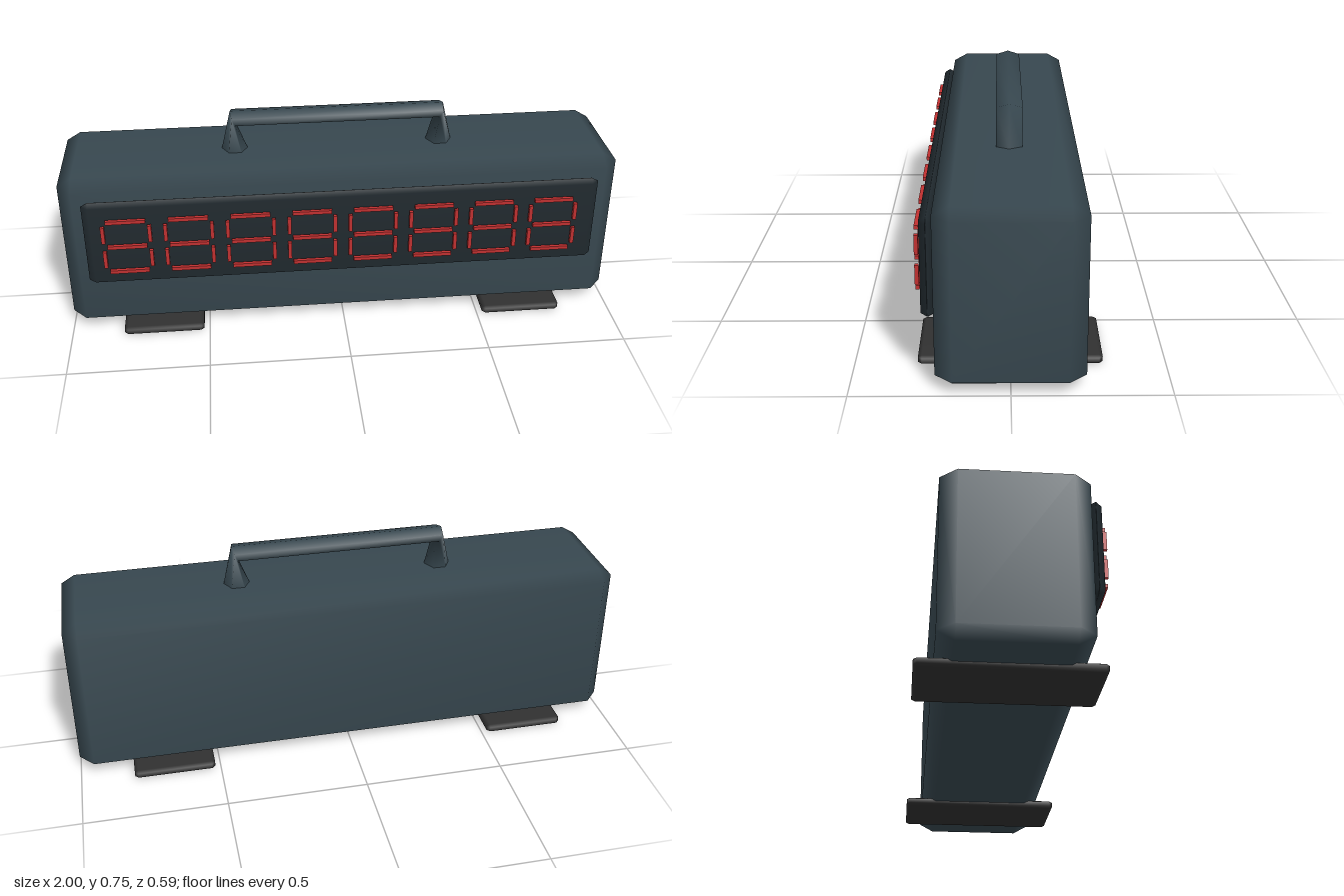
import * as THREE from 'three';
import { ConvexGeometry } from 'three/addons/geometries/ConvexGeometry.js';
import { mergeVertices } from 'three/addons/utils/BufferGeometryUtils.js';

const paint = (color) => new THREE.MeshStandardMaterial({ color });

// Box with half sizes h and one-step bevels b per axis, smooth normals
function bevelBox([hx, hy, hz], [bx, by, bz]) {
  const points = [];
  for (const sx of [-1, 1]) for (const sy of [-1, 1]) for (const sz of [-1, 1]) {
    points.push(
      new THREE.Vector3(sx * hx, sy * (hy - by), sz * (hz - bz)),
      new THREE.Vector3(sx * (hx - bx), sy * hy, sz * (hz - bz)),
      new THREE.Vector3(sx * (hx - bx), sy * (hy - by), sz * hz));
  }
  const geometry = new ConvexGeometry(points);
  geometry.deleteAttribute('normal');
  const smooth = mergeVertices(geometry, 1e-4);
  smooth.computeVertexNormals();
  return smooth;
}

// Hexagonal loops swept from one foot of the handle to the other
function handleGeometry() {
  const halfWidth = 0.045;
  // Outer and inner edge of each section: [outerX, outerY, innerX, innerY]
  const sections = [
    [-0.425, 0.59, -0.325, 0.59],
    [-0.388, 0.747, -0.366, 0.696],
    [0.388, 0.747, 0.366, 0.696],
    [0.425, 0.59, 0.325, 0.59],
  ];
  const hexagon = [[0, 0], [0.25, 1], [0.75, 1], [1, 0], [0.75, -1], [0.25, -1]];
  const positions = [], indices = [];
  sections.forEach(([ox, oy, ix, iy], s) => {
    hexagon.forEach(([t, side], k) => {
      positions.push(ox + (ix - ox) * t, oy + (iy - oy) * t, side * halfWidth);
      if (s === sections.length - 1) return;
      const a = s * 6 + k, b = s * 6 + (k + 1) % 6;
      indices.push(a, b, a + 6, b, b + 6, a + 6);
    });
  });
  const geometry = new THREE.BufferGeometry();
  geometry.setAttribute('position', new THREE.Float32BufferAttribute(positions, 3));
  geometry.setIndex(indices);
  geometry.computeVertexNormals();
  return geometry;
}

export function createModel() {
  const model = new THREE.Group();
  const bodyPaint = paint(0x37474f);
  const panelPaint = paint(0x20292e);
  const footPaint = paint(0x303030);
  const segmentPaint = paint(0xc03030);

  const add = (parent, name, geometry, material, x, y, z) => {
    const mesh = new THREE.Mesh(geometry, material);
    mesh.name = name;
    mesh.position.set(x, y, z);
    parent.add(mesh);
  };

  // Case, display panel and carrying handle
  add(model, 'body', bevelBox([1, 0.293, 0.235], [0.05, 0.03, 0.055]), bodyPaint, 0, 0.308, 0);
  add(model, 'displayPanel', bevelBox([0.916, 0.164, 0.022], [0.024, 0.013, 0.021]), panelPaint, 0, 0.379, 0.255);
  add(model, 'handle', handleGeometry(), bodyPaint, 0, 0, 0);

  // Flat feet reaching past the front and back
  const foot = bevelBox([0.145, 0.0145, 0.297], [0.012, 0.006, 0.012]);
  add(model, 'leftFoot', foot, footPaint, 0.665, 0.0145, 0);
  add(model, 'rightFoot', foot, footPaint, -0.665, 0.0145, 0);

  // Eight seven-segment digits floating just before the panel
  const bar = new THREE.BoxGeometry(0.138, 0.013, 0.013);
  const post = new THREE.BoxGeometry(0.013, 0.065, 0.013);
  for (let i = 0; i < 8; i++) {
    const digit = new THREE.Group();
    digit.name = `digit${i + 1}`;
    digit.position.set(-0.766 + i * 0.2165, 0.38, 0.29);
    for (const y of [-0.101, 0, 0.101]) add(digit, 'horizontalSegment', bar, segmentPaint, 0, y, 0);
    for (const x of [-0.081, 0.081]) {
      for (const y of [-0.05, 0.05]) add(digit, 'verticalSegment', post, segmentPaint, x, y, 0);
    }
    model.add(digit);
  }
  return model;
}
